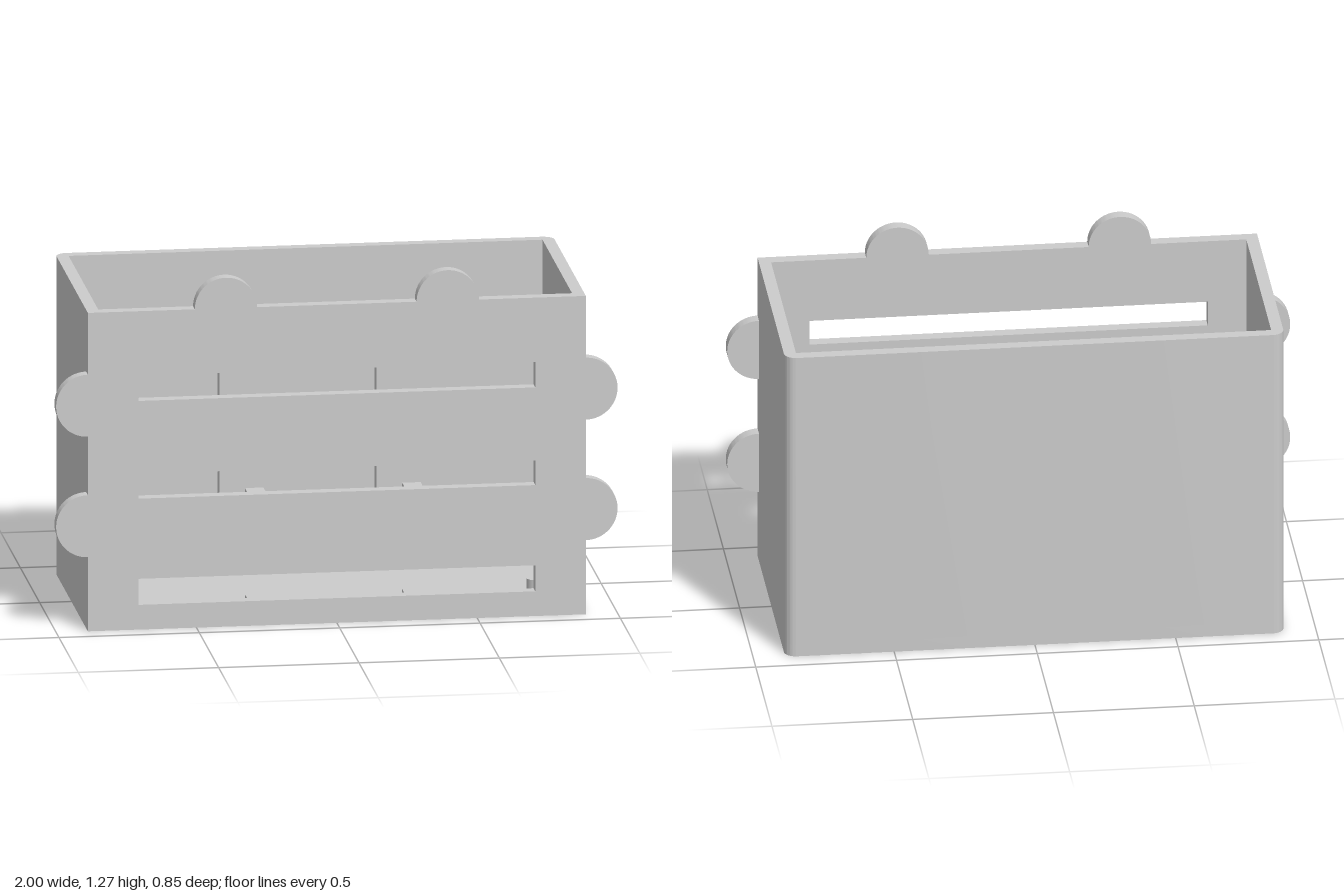
import * as THREE from 'three';
import { toCreasedNormals } from 'three/addons/utils/BufferGeometryUtils.js';

const W = 0.887, H = 1.16, BACK = -0.427, FRONT = 0.427;
const WALL = 0.043, INNER = 0.382, FLOOR = 0.045;
const SLOTS = [[0.09, 0.185], [0.477, 0.567], [0.833, 0.925]];
const material = new THREE.MeshStandardMaterial({ color: 0xcccccc });

function addMesh(parent, name, geometry) {
  const mesh = new THREE.Mesh(geometry, material);
  mesh.name = name;
  parent.add(mesh);
  return mesh;
}

function extrude(shape, depth) {
  const g = new THREE.ExtrudeGeometry(shape, { depth, bevelEnabled: false, curveSegments: 24 });
  return toCreasedNormals(g, 0.6);
}

// Plan outline (shape y = -z) with rounded back corners, open or closed at the front
function planShape(hollow) {
  const s = new THREE.Shape(), r = 0.042, b = -BACK;
  s.moveTo(W, -INNER);
  s.lineTo(W, b - r);
  s.absarc(W - r, b - r, r, 0, Math.PI / 2, false);
  s.lineTo(-W + r, b);
  s.absarc(-W + r, b - r, r, Math.PI / 2, Math.PI, false);
  s.lineTo(-W, -INNER);
  if (hollow) {
    const x = W - WALL, z = b - WALL;
    s.lineTo(-x, -INNER);
    s.lineTo(-x, z);
    s.lineTo(x, z);
    s.lineTo(x, -INNER);
  }
  return s;
}

// Front plate with half-round tabs and three horizontal slots
function frontShape() {
  const s = new THREE.Shape(), r = 0.113, tabY = [0.383, 0.822], tabX = 0.395, q = Math.PI / 2;
  s.moveTo(-W, 0);
  s.lineTo(W, 0);
  for (const y of tabY) s.absarc(W, y, r, -q, q, false);
  s.lineTo(W, H);
  for (const x of [tabX, -tabX]) s.absarc(x, H, 0.111, 0, Math.PI, false);
  s.lineTo(-W, H);
  for (const y of [...tabY].reverse()) s.absarc(-W, y, r, q, 3 * q, false);
  s.closePath();
  for (const [y0, y1] of SLOTS) {
    const x = 0.707, hole = new THREE.Path();
    hole.moveTo(-x, y0);
    hole.lineTo(-x, y1);
    hole.lineTo(x, y1);
    hole.lineTo(x, y0);
    hole.closePath();
    s.holes.push(hole);
  }
  return s;
}

// Upright rib growing inward along +x from its wall, with an optional sloped top
function ribGeometry(y0, y1, slopedTop) {
  const d = 0.053, s = new THREE.Shape();
  s.moveTo(0, y0);
  s.lineTo(d, y0);
  s.lineTo(d, slopedTop ? y1 - 0.025 : y1);
  s.lineTo(d / 2, y1);
  s.lineTo(0, y1);
  const g = new THREE.ExtrudeGeometry(s, { depth: 0.066, bevelEnabled: false });
  return g.translate(0, 0, -0.033);
}

export function createModel() {
  const model = new THREE.Group();
  model.name = 'slottedBox';

  const floor = addMesh(model, 'floor', extrude(planShape(false), FLOOR));
  floor.rotation.x = -Math.PI / 2;
  const walls = addMesh(model, 'sideAndBackWalls', extrude(planShape(true), H - FLOOR));
  walls.rotation.x = -Math.PI / 2;
  walls.position.y = FLOOR;
  const front = addMesh(model, 'frontPlate', extrude(frontShape(), FRONT - INNER));
  front.position.z = INNER;

  // Full-height ribs on back and side walls
  const ribTop = 0.76;
  const addRib = (name, x, z, angle, y0 = FLOOR, y1 = ribTop) => {
    const rib = addMesh(model, name, ribGeometry(y0, y1, y1 === ribTop));
    rib.position.set(x, 0, z);
    rib.rotation.y = angle;
  };
  addRib('sideRib', -W + WALL, 0, 0);
  addRib('sideRib', W - WALL, 0, Math.PI);
  for (const x of [-0.281, 0.279]) {
    addRib('backRib', x, BACK + WALL, -Math.PI / 2);
    // Front ribs are interrupted by the slots
    for (const [y0, y1] of [[FLOOR, 0.09], [0.185, 0.477], [0.567, ribTop]]) {
      addRib('frontRib', x, INNER, Math.PI / 2, y0, y1);
    }
  }

  // Short round pegs on the floor
  for (const x of [-0.735, 0.735]) {
    for (const z of [-0.275, 0.275]) {
      const peg = addMesh(model, 'floorPeg', new THREE.CylinderGeometry(0.039, 0.039, 0.055, 32));
      peg.position.set(x, FLOOR + 0.0275, z);
    }
  }
  return model;
}
